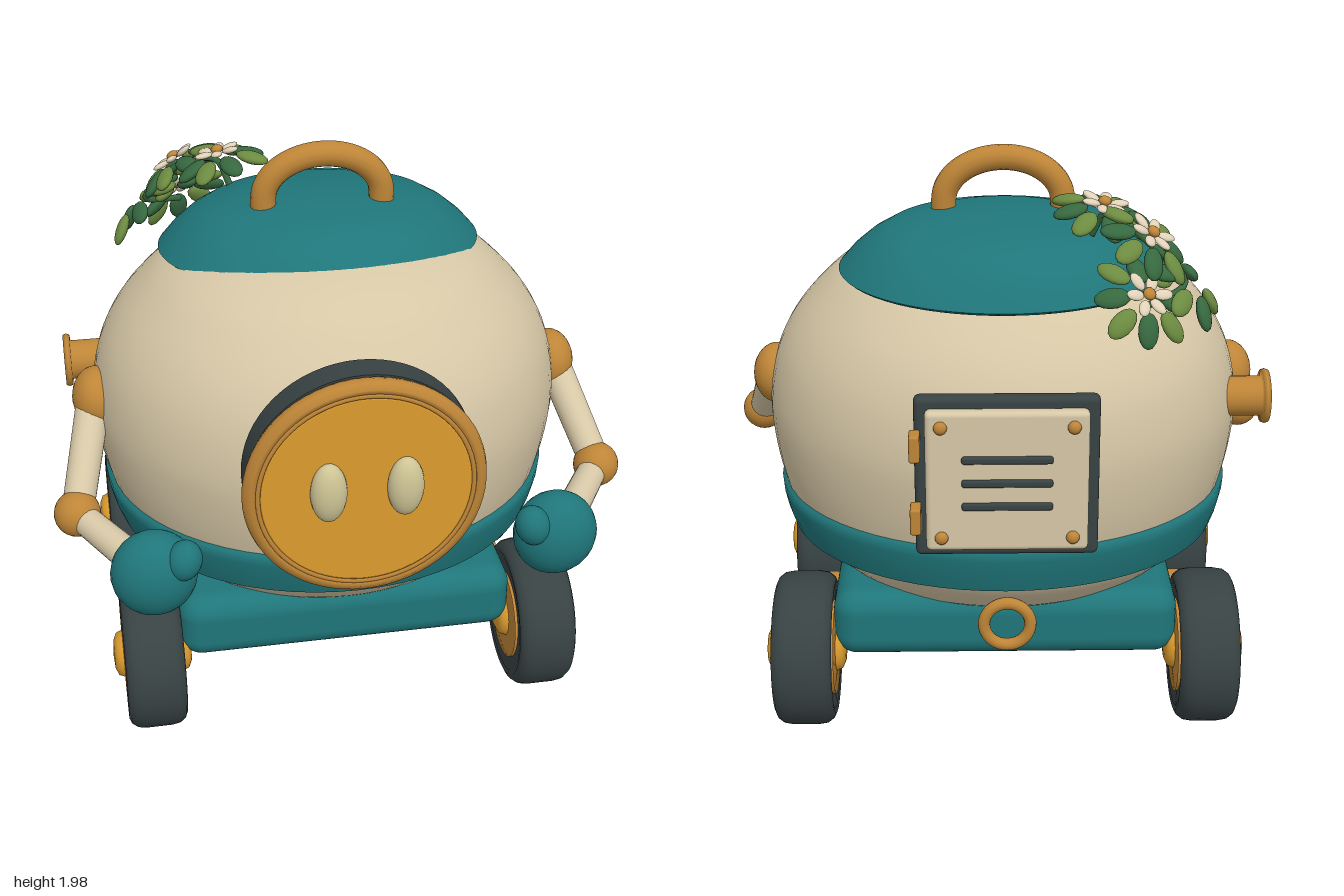
import * as THREE from 'three';
import { RoundedBoxGeometry } from 'three/addons/geometries/RoundedBoxGeometry.js';

const mat = (name, color) => Object.assign(new THREE.MeshStandardMaterial({ color }), { name });
const V = (x, y, z) => new THREE.Vector3(x, y, z);

export function createModel() {
  const root = new THREE.Group();
  root.name = 'potRobot';
  const M = {
    shell: mat('cream shell', 0xd6c7a6),
    teal: mat('teal', 0x1f767a),
    brass: mat('brass', 0xbe8537),
    amber: mat('amber', 0xdb9b2e),
    dark: mat('dark rubber', 0x384243),
    eye: mat('pale eye', 0xcfc596),
    leafDark: mat('dark leaf', 0x36683f),
    leafLight: mat('olive leaf', 0x6c8b40),
    petal: mat('petal', 0xe0d2b8),
  };
  const add = (name, geo, m, x = 0, y = 0, z = 0, parent = root) => {
    const mesh = new THREE.Mesh(geo, m);
    mesh.name = name;
    mesh.position.set(x, y, z);
    parent.add(mesh);
    return mesh;
  };
  const lathe = (pts, seg = 64) => new THREE.LatheGeometry(pts.map(p => new THREE.Vector2(...p)), seg);
  const smooth = (pts, n) => new THREE.SplineCurve(pts.map(p => new THREE.Vector2(...p))).getPoints(n).map(p => [Math.max(p.x, 0), p.y]);
  const ball = (name, m, x, y, z, rx, ry = rx, rz = rx, parent = root, seg = 24) => {
    const b = add(name, new THREE.SphereGeometry(1, seg, Math.ceil(seg * 0.6)), m, x, y, z, parent);
    b.scale.set(rx, ry, rz);
    return b;
  };
  const rod = (name, m, a, b, r1, r2 = r1) => {
    const c = add(name, new THREE.CylinderGeometry(r2, r1, a.distanceTo(b), 20), m);
    c.position.copy(a).lerp(b, 0.5);
    c.quaternion.setFromUnitVectors(V(0, 1, 0), b.clone().sub(a).normalize());
    return c;
  };

  // Round body and the teal belt
  const RX = 0.83, RZ = 0.745;
  const bodyPts = [[0, .38], [.4, .4], [.66, .465], [.77, .525], [.88, .63], [.95, .79], [.99, .95], [1, 1.1],
    [.965, 1.26], [.89, 1.39], [.78, 1.5], [.65, 1.59], [.45, 1.66], [.2, 1.7], [0, 1.71]];
  add('body', lathe(smooth(bodyPts, 56)), M.shell, 0, 0, -.025).scale.set(RX, 1, RZ);
  add('belt', lathe([[.86, .63], [.925, .63], [.925, .63], [.95, .69], [.966, .75], [.97, .79], [.93, .795]]),
    M.teal, 0, 0, -.025).scale.set(RX, 1, RZ);

  // Lid with carrying handle
  const lid = add('lid', lathe([[0, -.01], [.98, -.01], [1, 0], [1, 0], [.92, .052], [.82, .1], [.7, .14], [.5, .168], [.25, .184], [0, .19]]),
    M.teal, 0, 1.59, -.135);
  lid.scale.set(.565, 1, .465);
  lid.rotation.x = -.06;
  const hoop = [V(-.205, 1.72, 0), V(-.205, 1.79, 0)];
  for (let i = 1; i < 12; i++) {
    const a = Math.PI * (1 - i / 12);
    hoop.push(V(.205 * Math.cos(a), 1.79 + .15 * Math.sin(a), 0));
  }
  hoop.push(V(.205, 1.79, 0), V(.205, 1.72, 0));
  add('handle', new THREE.TubeGeometry(new THREE.CatmullRomCurve3(hoop), 48, .044, 14), M.brass, 0, 0, -.042);

  // Face disc
  const face = new THREE.Group();
  face.name = 'face';
  face.position.set(0, 1.13, 0);
  root.add(face);
  const gasket = add('faceGasket', new THREE.CylinderGeometry(.385, .385, .1, 64), M.dark, 0, .01, .695, face);
  const rim = add('faceRim', lathe([[0, .745], [.37, .745], [.395, .757], [.4, .775], [.395, .793], [.375, .808], [.36, .805], [.35, .79], [0, .79]]),
    M.brass, 0, 0, 0, face);
  const plate = add('facePlate', lathe([[.35, .785], [.35, .799], [.34, .804], [.34, .804], [0, .804]]), M.amber, 0, 0, 0, face);
  [gasket, rim, plate].forEach(p => { p.rotation.x = Math.PI / 2; });
  const groove = add('faceGroove', new THREE.TorusGeometry(.352, .008, 8, 64), M.brass, 0, 0, .804, face);
  groove.scale.z = .6;
  for (const s of [1, -1]) ball('eye', M.eye, s * .125, .013, .81, .06, .108, .045, face);

  // Arms, mirrored
  for (const s of [1, -1]) {
    const shoulder = V(s * .83, 1.126, .06), elbow = V(s * .92, .86, .375), wrist = V(s * .74, .82, .63);
    ball('shoulder', M.brass, s * .82, 1.126, .055, .085, .11, .11);
    rod('upperArm', M.shell, shoulder, elbow, .06, .055);
    ball('elbow', M.brass, elbow.x, elbow.y, elbow.z, .08);
    rod('forearm', M.shell, elbow, wrist, .05, .055);
    ball('hand', M.teal, s * .685, .798, .67, .145, .155, .115);
    ball('thumb', M.teal, s * .588, .872, .722, .06, .072, .06).rotation.z = s * .3;
  }

  // Chassis and cross bar
  add('chassis', new RoundedBoxGeometry(1.2, .25, 1.06, 5, .08), M.teal, 0, .393, -.012);
  rod('crossBar', M.brass, V(-.67, .277, -.015), V(.67, .277, -.015), .062);

  // Wheels
  const tyre = [[.15, -.09], [.215, -.1], [.222, -.094], [.232, -.103], [.25, -.095], [.265, -.075], [.27, -.045]];
  const tyrePts = [...tyre, ...tyre.map(([r, y]) => [r, -y]).reverse()];
  const hubPts = [[0, -.098], [.085, -.104], [.15, -.095], [.165, -.103], [.165, .103], [.15, .095], [.085, .104], [0, .098]];
  const capPts = [[0, -.14], [.05, -.136], [.075, -.125], [.086, -.1], [.086, .1], [.075, .125], [.05, .136], [0, .14]];
  for (const s of [1, -1]) for (const z of [.43, -.455]) {
    const wheel = new THREE.Group();
    wheel.name = 'wheel';
    wheel.position.set(s * .7, .275, z);
    wheel.rotation.z = -s * Math.PI / 2;
    add('tyre', lathe(tyrePts, 48), M.dark, 0, 0, 0, wheel);
    add('hub', lathe(hubPts, 40), M.brass, 0, 0, 0, wheel);
    add('hubCap', lathe(capPts, 32), M.amber, 0, 0, 0, wheel);
    root.add(wheel);
  }

  // Rear service hatch
  const hatch = new THREE.Group();
  hatch.name = 'hatch';
  hatch.position.set(0, 1.077, 0);
  root.add(hatch);
  add('hatchFrame', new RoundedBoxGeometry(.59, .55, .055, 3, .02), M.dark, 0, 0, -.763, hatch);
  add('hatchDoor', new RoundedBoxGeometry(.52, .48, .05, 3, .018), M.shell, 0, 0, -.805, hatch);
  for (const y of [.08, 0, -.08]) add('ventSlot', new RoundedBoxGeometry(.29, .026, .02, 2, .009), M.dark, 0, y, -.832, hatch);
  for (const x of [.21, -.21]) for (const y of [.19, -.19]) ball('rivet', M.brass, x, y, -.833, .022, .022, .018, hatch, 12);
  for (const y of [.125, -.125]) add('hinge', new RoundedBoxGeometry(.035, .09, .07, 2, .008), M.brass, .292, y, -.822, hatch);

  // Tow ring and side spout
  add('towRing', new THREE.TorusGeometry(.076, .02, 12, 36), M.brass, 0, .575, -.835);
  const spout = add('spout', lathe([[.07, 0], [.07, .155], [.092, .158], [.096, .17], [.092, .182], [.06, .182], [.055, .165], [.055, .12], [0, .12]], 32),
    M.brass, -.74, 1.13, -.22);
  spout.rotation.z = Math.PI / 2;

  // Garland: leaves ringed round flowers, each spray facing along its normal
  const leafGeo = new THREE.SphereGeometry(1, 14, 10);
  let k = 0;
  const spray = (pos, normal, leaves, flower) => {
    const g = new THREE.Group();
    g.name = flower ? 'flowerSpray' : 'leafSpray';
    g.position.copy(pos);
    g.quaternion.setFromUnitVectors(V(0, 1, 0), normal.normalize());
    root.add(g);
    const ringOf = (name, n, r, size, y, tilt, pick) => {
      for (let i = 0; i < n; i++) {
        const arm = new THREE.Group();
        arm.rotation.y = (i + .35) * Math.PI * 2 / n;
        g.add(arm);
        const leaf = add(name, leafGeo, pick(i), r * (i % 2 ? 1.1 : .95), y, 0, arm);
        leaf.scale.set(...size);
        leaf.rotation.z = tilt;
      }
    };
    ringOf('leaf', leaves, .115, [.06, .02, .036], -.035, -.4, () => (k++ % 2 ? M.leafLight : M.leafDark));
    if (!flower) return;
    ringOf('petal', 6, .05, [.033, .011, .02], .005, .1, () => M.petal);
    ball('flowerHeart', M.brass, 0, .012, 0, .022, .016, .022, g, 12);
  };
  spray(V(-.325, 1.85, -.335), V(-.2, .95, -.15), 8, true);
  spray(V(-.47, 1.785, -.465), V(-.5, .8, -.3), 8, true);
  spray(V(-.45, 1.62, -.595), V(-.35, .65, -.6), 8, true);
  spray(V(-.61, 1.635, -.48), V(-.7, .7, -.25), 6, false);
  add('stem', new THREE.TubeGeometry(new THREE.CatmullRomCurve3([V(-.29, 1.74, -.3), V(-.33, 1.82, -.34), V(-.47, 1.75, -.465),
    V(-.58, 1.63, -.49), V(-.45, 1.58, -.58)]), 30, .012, 8), M.leafDark);

  return root;
}
